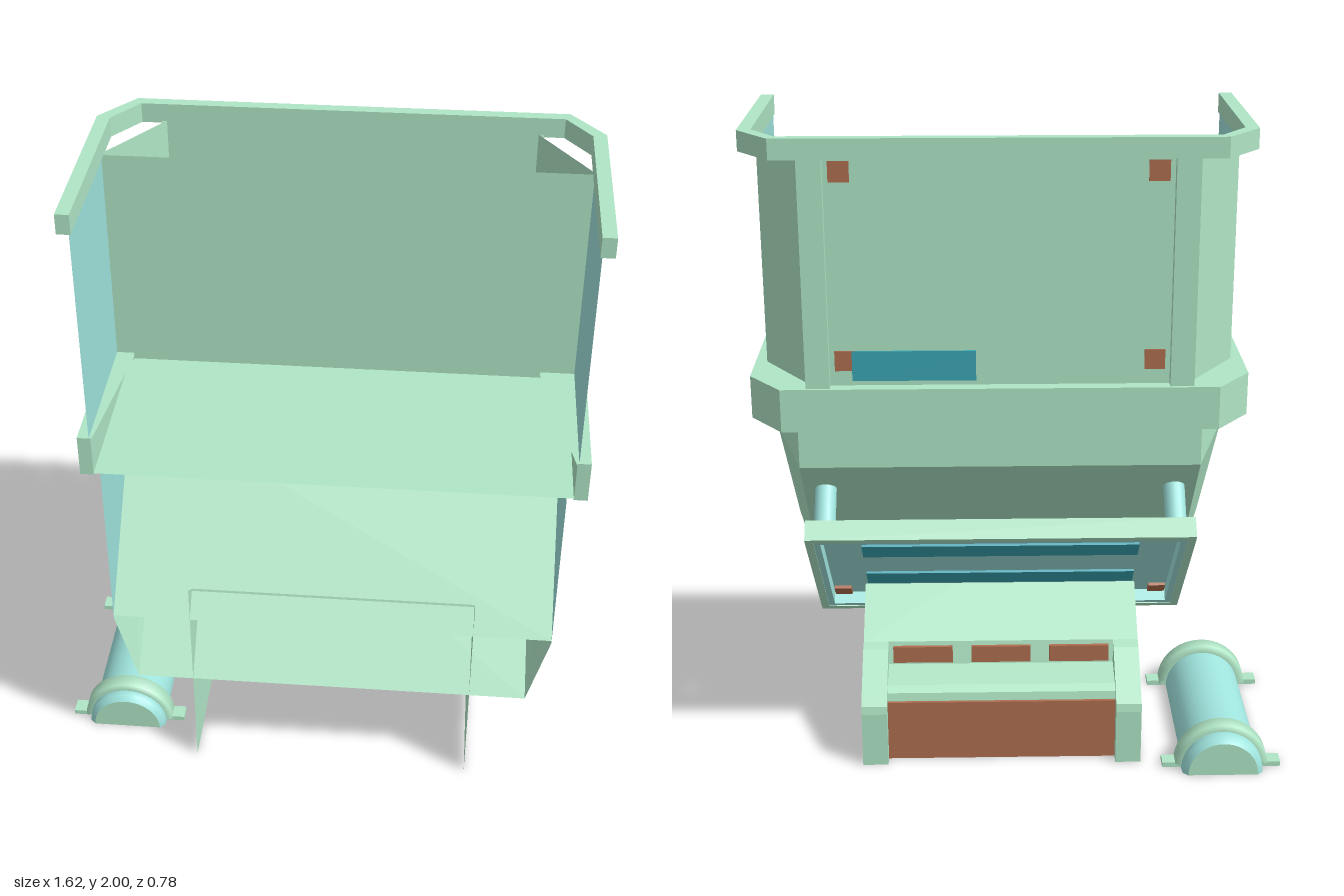
import * as THREE from 'three';

const paint = (color) => new THREE.MeshStandardMaterial({ color, side: THREE.DoubleSide });
const MINT = paint(0xb0e6c6), CYAN = paint(0xa0e4de), TEAL = paint(0x3aa6b5), RUST = paint(0xb06e50);

function add(parent, name, geo, mat, x = 0, y = 0, z = 0) {
  const m = new THREE.Mesh(geo, mat);
  m.name = name;
  m.position.set(x, y, z);
  parent.add(m);
  return m;
}
const box = (parent, name, mat, w, h, d, x, y, z) =>
  add(parent, name, new THREE.BoxGeometry(w, h, d), mat, x, y, z);

// Flat convex panel from its corners
function panel(parent, name, mat, ...pts) {
  const pos = [];
  for (let i = 1; i < pts.length - 1; i++) pos.push(...pts[0], ...pts[i], ...pts[i + 1]);
  const g = new THREE.BufferGeometry();
  g.setAttribute('position', new THREE.Float32BufferAttribute(pos, 3));
  g.computeVertexNormals();
  return add(parent, name, g, mat);
}

// Sheet following a [z, y] side profile between x0 and x1
function sheet(parent, name, mat, pts, x0, x1) {
  const g = new THREE.Group();
  g.name = name;
  for (let i = 0; i < pts.length - 1; i++) {
    const [[z0, y0], [z1, y1]] = [pts[i], pts[i + 1]];
    panel(g, name + 'Face', mat, [x0, y0, z0], [x1, y0, z0], [x1, y1, z1], [x0, y1, z1]);
  }
  parent.add(g);
}

// Open-fronted plan outline with cut back corners, as [x, z]
const FRONT = 0.39;
const outline = (side, zCut, back, zBack) => [
  [side, FRONT], [side, zCut], [back, zBack], [-back, zBack], [-side, zCut], [-side, FRONT]];
const toShape = (pts) => new THREE.Shape(pts.map(([x, z]) => new THREE.Vector2(x, -z)));
function band(parent, name, outer, inner, y, h) {
  const g = new THREE.ExtrudeGeometry(toShape([...outer, ...inner.slice().reverse()]),
    { depth: h, bevelEnabled: false });
  g.rotateX(-Math.PI / 2);
  return add(parent, name, g, MINT, 0, y, 0);
}

function buildBin() {
  const bin = new THREE.Group();
  bin.name = 'upperBin';
  const wall = outline(0.705, -0.07, 0.55, -0.3);
  const rimOuter = outline(0.74, -0.21, 0.64, -0.34);
  const rimInner = outline(0.7, -0.2, 0.625, -0.305);
  for (let i = 0; i < wall.length - 1; i++) {
    const [a, b] = [wall[i], wall[i + 1]];
    const glass = i === 0 || i === 4;
    panel(bin, glass ? 'sideWindow' : 'binWall', glass ? CYAN : MINT,
      [a[0], 1.25, a[1]], [b[0], 1.25, b[1]], [b[0], 1.95, b[1]], [a[0], 1.95, a[1]]);
  }
  // Flat inner sheet between the two windows
  sheet(bin, 'innerWall', MINT, [[-0.07, 1.25], [-0.07, 1.945]], -0.705, 0.705);
  band(bin, 'topRim', rimOuter, rimInner, 1.94, 0.06);
  band(bin, 'lowerRim', rimOuter, rimInner, 1.14, 0.13);
  band(bin, 'lowerRimLedge', rimInner, wall, 1.262, 0.008);
  const floor = new THREE.ShapeGeometry(toShape(rimInner)).rotateX(-Math.PI / 2);
  add(bin, 'binFloor', floor, MINT, 0, 1.145, 0);
  // Back posts and markers
  for (const s of [-1, 1]) {
    box(bin, 'backPost', MINT, 0.07, 0.68, 0.03, s * 0.53, 1.605, -0.315);
    for (const y of [1.345, 1.9]) box(bin, 'cornerMarker', RUST, 0.06, 0.06, 0.004, s * 0.45, y, -0.303);
  }
  box(bin, 'backLabelPlate', TEAL, 0.36, 0.09, 0.006, 0.25, 1.33, -0.304);
  return bin;
}

function buildHopper() {
  const hopper = new THREE.Group();
  hopper.name = 'hopper';
  for (const s of [-1, 1]) {
    const top = [s * 0.68, 1.14, -0.1], mid = [s * 0.68, 1.08, -0.1], low = [s * 0.68, 0.58, FRONT];
    const bTop = [s * 0.6, 1.14, -0.27], bMid = [s * 0.6, 1.0, -0.27], bLow = [s * 0.615, 0.34, FRONT];
    panel(hopper, 'hopperSide', CYAN, [s * 0.68, 1.14, FRONT], low, mid, top);
    panel(hopper, 'hopperUpperCorner', MINT, top, mid, bMid, bTop);
    panel(hopper, 'hopperLowerCorner', MINT, mid, low, bLow, bMid);
  }
  panel(hopper, 'hopperBack', MINT, [-0.6, 1.14, -0.27], [0.6, 1.14, -0.27], [0.6, 1, -0.27], [-0.6, 1, -0.27]);
  panel(hopper, 'hopperSlope', MINT, [-0.6, 1, -0.27], [0.6, 1, -0.27], [0.615, 0.34, FRONT], [-0.615, 0.34, FRONT]);
  sheet(hopper, 'innerSlope', MINT, [[-0.1, 1.14], [-0.1, 1.08], [FRONT, 0.59]], -0.68, 0.68);
  return hopper;
}

// Tilted tray: local y runs up the slope, local +z points at the hopper
function buildTray() {
  const tray = new THREE.Group();
  tray.name = 'tiltedTray';
  tray.position.set(0, 0.59, -0.085);
  tray.rotation.x = -Math.PI / 4;
  box(tray, 'trayBase', CYAN, 1.16, 0.6, 0.02, 0, 0, 0.02);
  for (const s of [-1, 1]) {
    box(tray, 'trayLongEdge', MINT, 1.18, 0.025, 0.065, 0, s * 0.302, 0);
    box(tray, 'trayShortEdge', MINT, 0.025, 0.6, 0.065, s * 0.578, 0, 0);
    box(tray, 'innerLongLip', CYAN, 1.13, 0.02, 0.05, 0, s * 0.28, -0.005);
    box(tray, 'innerShortLip', CYAN, 0.02, 0.55, 0.05, s * 0.556, 0, -0.005);
    box(tray, 'trayStrip', TEAL, 0.86, 0.09, 0.008, 0, s * 0.12, 0.006);
    for (const t of [-1, 1]) {
      box(tray, 'trayMarker', RUST, 0.055, 0.055, 0.01, s * 0.515, t * 0.235, 0.005);
      const leg = new THREE.CylinderGeometry(0.033, 0.033, 0.15, 16).rotateX(Math.PI / 2);
      add(tray, 'trayLeg', leg, CYAN, s * 0.535, t * 0.26, 0.095);
    }
  }
  return tray;
}

function buildChute() {
  const chute = new THREE.Group();
  chute.name = 'chute';
  const cheek = [[-0.11, 0.335], [-0.145, 0.325], [-0.28, 0.225], [-0.3, 0.205], [-0.305, 0.18], [-0.305, 0]];
  const corners = (x) => cheek.map(([z, y]) => [x, y, z]);
  for (const s of [-1, 1]) {
    const [outer, inner] = [s * 0.44, s * 0.36];
    panel(chute, 'chuteSide', MINT, [outer, 0, FRONT], [outer, 0.71, FRONT], ...corners(outer));
    sheet(chute, 'cheekBack', MINT, cheek, outer, inner);
    panel(chute, 'cheekInside', MINT, [inner, 0, -0.25], [inner, 0.22, -0.25], [inner, 0.26, -0.125], ...corners(inner));
  }
  sheet(chute, 'chuteTop', MINT, [[FRONT, 0.71], [-0.11, 0.335]], -0.44, 0.44);
  // Recessed back: rail, rounded lip and flap
  sheet(chute, 'recess', MINT,
    [[-0.11, 0.335], [-0.125, 0.262], [-0.225, 0.24], [-0.25, 0.225], [-0.255, 0.2], [-0.255, 0]], -0.36, 0.36);
  for (const x of [-0.25, 0, 0.25]) box(chute, 'railBlock', RUST, 0.19, 0.055, 0.012, x, 0.298, -0.127);
  box(chute, 'backFlap', RUST, 0.72, 0.2, 0.01, 0, 0.1, -0.262);
  return chute;
}

// Half-round canister lying along z, open below, with two strapped feet
function buildCanister() {
  const can = new THREE.Group();
  can.name = 'canister';
  can.position.x = -0.625;
  // Half turn about the z axis of an [r, z] profile, curved side up
  const half = (name, mat, profile) => {
    const pts = profile.map(([r, z]) => new THREE.Vector2(r, z));
    const g = new THREE.LatheGeometry(pts, 24, Math.PI / 2, Math.PI).rotateX(Math.PI / 2);
    add(can, name, g, mat);
  };
  half('canisterBody', CYAN, [[0.11, -0.39], [0.126, -0.375], [0.128, -0.345], [0.122, -0.34],
    [0.122, 0.245], [0.128, 0.25], [0.126, 0.27], [0.11, 0.285]]);
  half('backEnd', MINT, [[0, -0.39], [0.11, -0.39]]);
  half('frontEnd', MINT, [[0, 0.285], [0.11, 0.285]]);
  for (const z of [-0.315, 0.22]) {
    const [a, b] = [z - 0.025, z + 0.025];
    half('strap', MINT, [[0.122, a], [0.147, a], [0.147, b], [0.122, b]]);
    for (const s of [-1, 1]) box(can, 'strapFoot', MINT, 0.06, 0.016, 0.05, s * 0.157, 0.008, z);
  }
  return can;
}

export function createModel() {
  const model = new THREE.Group();
  model.name = 'hopperMachine';
  const body = new THREE.Group();
  body.name = 'machineBody';
  body.position.x = 0.068;
  body.add(buildBin(), buildHopper(), buildTray(), buildChute());
  model.add(body, buildCanister());
  return model;
}
